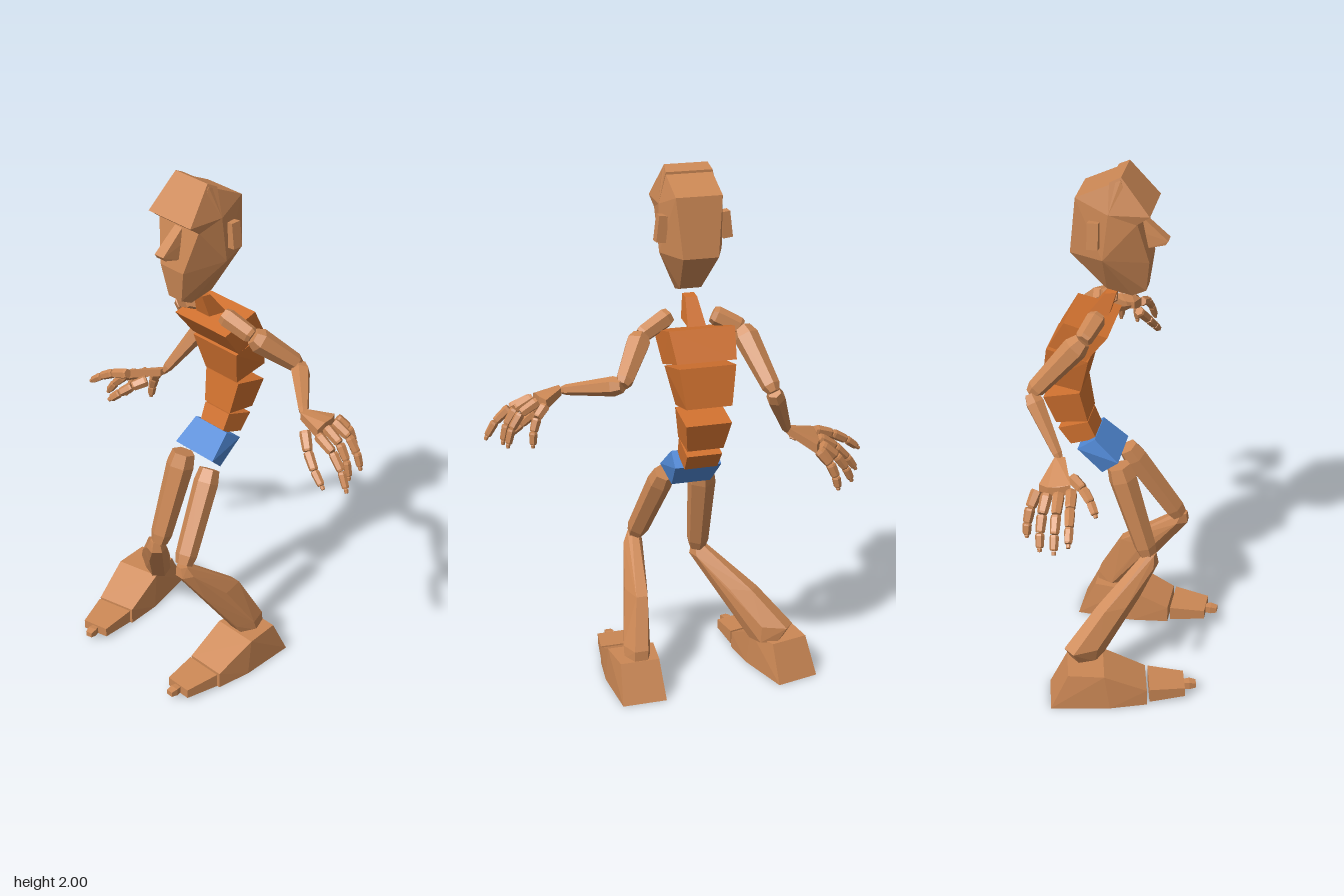
import * as THREE from 'three';
import { ConvexGeometry } from 'three/addons/geometries/ConvexGeometry.js';

const V = (x, y, z) => new THREE.Vector3(x, y, z);
const mat = (color) => new THREE.MeshStandardMaterial({ color, flatShading: true });
const skin = mat(0xcc8855), shirt = mat(0xd0712f), blue = mat(0x5088d4);

function hull(name, points, material = skin) {
  const mesh = new THREE.Mesh(new ConvexGeometry(points), material);
  mesh.name = name;
  return mesh;
}

// Symmetric block from a side profile: rows of [z, y, half width]
function block(name, cx, rows, material) {
  return hull(name, rows.flatMap(([z, y, w]) => [V(cx - w, y, z), V(cx + w, y, z)]), material);
}

// Six-sided ring spanned by two direction vectors
function ring(center, u, v, ru, rv) {
  return Array.from({ length: 6 }, (_, i) => {
    const a = (i + 0.5) * Math.PI / 3;
    return center.clone().addScaledVector(u, Math.cos(a) * ru).addScaledVector(v, Math.sin(a) * rv);
  });
}

// Tapered limb segment with narrowed ends
function limb(name, a, b, r1, r2, cap = 0.65, material = skin) {
  const dir = b.clone().sub(a).normalize();
  const ref = Math.abs(dir.x) < 0.8 ? V(1, 0, 0) : V(0, 0, 1);
  const v = dir.clone().cross(ref).normalize();
  const u = v.clone().cross(dir);
  const points = [[0, cap], [0.14, 1], [0.9, 1], [1, cap]].flatMap(([t, s]) => {
    const r = THREE.MathUtils.lerp(r1, r2, t) * s;
    return ring(a.clone().lerp(b, t), u, v, r * 1.08, r * 1.08);
  });
  return hull(name, points, material);
}

// Finger of three bent segments and a small tip
function finger(name, a, mid, tip, r) {
  const g = new THREE.Group();
  g.name = name;
  const curve = new THREE.QuadraticBezierCurve3(a, mid, tip);
  const cuts = [0, 0.38, 0.7, 0.94, 1];
  for (let i = 0; i < 4; i++) {
    const s = i === 3 ? 0.4 : 1 - i * 0.12;
    const p = curve.getPoint(cuts[i]), q = curve.getPoint(cuts[i + 1]);
    g.add(limb('fingerSegment', p, p.clone().lerp(q, 0.96), r * s, r * s * 0.85, 0.85));
  }
  return g;
}

// Palm hull with the fingers fanned out; the last digit is the thumb
function hand(name, wrist, digits, r) {
  const g = new THREE.Group();
  g.name = name;
  const palm = [V(0, 0.014, 0.018), V(0, 0.014, -0.018), V(0, -0.014, 0.018), V(0, -0.014, -0.018)]
    .map((o) => o.add(wrist));
  digits.slice(0, 4).forEach(([k]) => {
    const p = wrist.clone().lerp(k, 0.93);
    palm.push(p.clone().add(V(0, 0.017, 0)), p.clone().add(V(0, -0.02, 0)));
  });
  g.add(hull('palm', palm));
  digits.forEach(([k, m, t], i) => g.add(finger(i === 4 ? 'thumb' : 'finger', k, m, t, i === 4 ? r * 1.05 : r)));
  return g;
}

function arm(side, collar, shoulder, elbow, wrist, digits, r) {
  const g = new THREE.Group();
  g.name = side + 'Arm';
  g.add(limb('collarbone', collar, shoulder, 0.034, 0.03, 0.8));
  g.add(limb('upperArm', shoulder, elbow, 0.045, 0.03));
  g.add(limb('forearm', elbow, wrist, 0.036, 0.016));
  g.add(hand('hand', wrist, digits, r));
  return g;
}

// Shin stations: [center, half depth, half width], depth measured along "fore"
function leg(side, hip, knee, fore, stations, thighR) {
  const g = new THREE.Group();
  g.name = side + 'Leg';
  g.add(limb('thigh', hip, knee, thighR, 0.038, 0.8));
  const across = V(fore.z, 0, -fore.x);
  g.add(hull('shin', stations.flatMap(([c, d, w]) => ring(c, fore, across, d * 1.1, w * 1.1))));
  return g;
}

function foot(side, x, z, turn) {
  const g = new THREE.Group();
  g.name = side + 'Foot';
  g.add(block('footBody', 0, [[-0.222, 0, 0.085], [-0.155, 0.143, 0.075], [-0.02, 0.143, 0.09],
    [0.0, 0, 0.095], [0.14, 0.065, 0.078], [0.14, 0, 0.078]]));
  g.add(block('toes', 0, [[0.15, 0.065, 0.075], [0.15, 0.01, 0.075], [0.285, 0.052, 0.053], [0.285, 0.015, 0.053]]));
  g.add(block('toeTip', 0, [[0.28, 0.045, 0.012], [0.28, 0.018, 0.012], [0.305, 0.047, 0.017],
    [0.305, 0.018, 0.017], [0.33, 0.042, 0.013], [0.33, 0.022, 0.013]]));
  g.position.set(x, 0, z);
  g.rotation.y = turn;
  return g;
}

function head() {
  const g = new THREE.Group();
  g.name = 'head';
  const cx = -0.045;
  // Skull narrows to the chin; the brow overhangs the face
  g.add(block('skull', cx, [[0, 1.99, 0.085], [-0.16, 1.915, 0.085], [-0.185, 1.70, 0.065], [-0.06, 1.70, 0.116],
    [-0.06, 1.56, 0.04], [0.03, 1.535, 0.03], [0.08, 1.56, 0.033], [0.095, 1.68, 0.058],
    [0.06, 1.84, 0.1], [-0.04, 1.87, 0.112]]));
  g.add(block('brow', cx, [[0, 2, 0.08], [-0.04, 1.98, 0.086], [0.105, 1.872, 0.106],
    [0.055, 1.835, 0.1], [-0.04, 1.87, 0.112]]));
  g.add(block('nose', cx, [[0.055, 1.84, 0.018], [0.155, 1.75, 0.022], [0.145, 1.735, 0.022],
    [0.08, 1.72, 0.026], [0.055, 1.78, 0.024]]));
  for (const s of [-1, 1]) {
    const ear = new THREE.Mesh(new THREE.BoxGeometry(0.035, 0.095, 0.04), skin);
    ear.name = 'ear';
    ear.position.set(cx + s * 0.118, 1.795, -0.09);
    ear.rotation.z = s * 0.12;
    g.add(ear);
  }
  return g;
}

export function createModel() {
  const model = new THREE.Group();
  model.name = 'figure';
  const cx = -0.045;

  // Head and torso, a curved stack of separate blocks
  model.add(head());
  model.add(block('neck', cx, [[-0.03, 1.535, 0.022], [-0.07, 1.53, 0.022], [-0.055, 1.45, 0.034], [-0.14, 1.44, 0.034]], shirt));
  model.add(block('chest', cx, [[-0.04, 1.41, 0.132], [-0.2, 1.45, 0.122], [-0.26, 1.345, 0.11], [-0.12, 1.305, 0.122]], shirt));
  model.add(block('ribs', cx, [[-0.115, 1.297, 0.114], [-0.27, 1.33, 0.105], [-0.292, 1.185, 0.085], [-0.15, 1.157, 0.083]], shirt));
  model.add(block('abdomen', cx, [[-0.155, 1.15, 0.086], [-0.29, 1.12, 0.085], [-0.248, 1.01, 0.068], [-0.13, 1.025, 0.067]], shirt));
  model.add(block('waist', cx, [[-0.13, 1.02, 0.064], [-0.24, 0.985, 0.066], [-0.195, 0.92, 0.062], [-0.1, 0.95, 0.06]], shirt));
  model.add(block('pelvis', cx, [[-0.1, 0.96, 0.084], [-0.165, 0.915, 0.088], [-0.075, 0.817, 0.075], [-0.01, 0.878, 0.1]], blue));

  // Arms, each posed by its joints; digits are [knuckle, bend, tip]
  model.add(arm('right', V(-0.12, 1.465, -0.085), V(-0.22, 1.415, -0.12), V(-0.285, 1.22, -0.295), V(-0.385, 1.02, -0.17), [
    [V(-0.52, 0.98, -0.10), V(-0.62, 0.96, -0.085), V(-0.715, 0.875, -0.07)],
    [V(-0.52, 0.965, -0.145), V(-0.62, 0.92, -0.14), V(-0.68, 0.815, -0.13)],
    [V(-0.515, 0.955, -0.19), V(-0.60, 0.90, -0.20), V(-0.64, 0.795, -0.19)],
    [V(-0.49, 0.95, -0.23), V(-0.55, 0.89, -0.26), V(-0.56, 0.795, -0.255)],
    [V(-0.43, 0.98, -0.12), V(-0.47, 0.96, -0.05), V(-0.535, 0.89, -0.01)]], 0.021));
  model.add(arm('left', V(0.04, 1.47, -0.075), V(0.155, 1.415, -0.11), V(0.26, 1.285, -0.25), V(0.445, 1.23, -0.08), [
    [V(0.545, 1.20, -0.05), V(0.66, 1.18, -0.04), V(0.71, 1.05, -0.025)],
    [V(0.545, 1.215, -0.09), V(0.65, 1.19, -0.09), V(0.66, 1.05, -0.09)],
    [V(0.54, 1.215, -0.135), V(0.64, 1.19, -0.15), V(0.655, 1.06, -0.155)],
    [V(0.52, 1.21, -0.17), V(0.58, 1.18, -0.21), V(0.575, 1.07, -0.205)],
    [V(0.48, 1.19, -0.05), V(0.53, 1.12, -0.005), V(0.63, 1.04, 0.005)]], 0.019));

  // Legs with blade-like calves, and the feet
  model.add(leg('right', V(-0.108, 0.845, -0.015), V(-0.125, 0.475, 0.1), V(0.75, 0, 0.66), [
    [V(-0.13, 0.485, 0.11), 0.022, 0.022], [V(-0.14, 0.44, 0.1), 0.042, 0.036],
    [V(-0.25, 0.33, 0.01), 0.088, 0.045], [V(-0.355, 0.2, -0.085), 0.095, 0.052],
    [V(-0.345, 0.135, -0.09), 0.06, 0.045]], 0.052));
  model.add(leg('left', V(0.04, 0.84, -0.01), V(0.1, 0.525, 0.18), V(0, 0, 1), [
    [V(0.105, 0.53, 0.19), 0.022, 0.022], [V(0.112, 0.49, 0.175), 0.042, 0.034],
    [V(0.14, 0.36, 0.035), 0.092, 0.04], [V(0.17, 0.18, -0.08), 0.072, 0.047],
    [V(0.172, 0.135, -0.095), 0.06, 0.046]], 0.045));
  model.add(foot('right', -0.385, 0, 0.235));
  model.add(foot('left', 0.178, 0, 0));
  return model;
}
